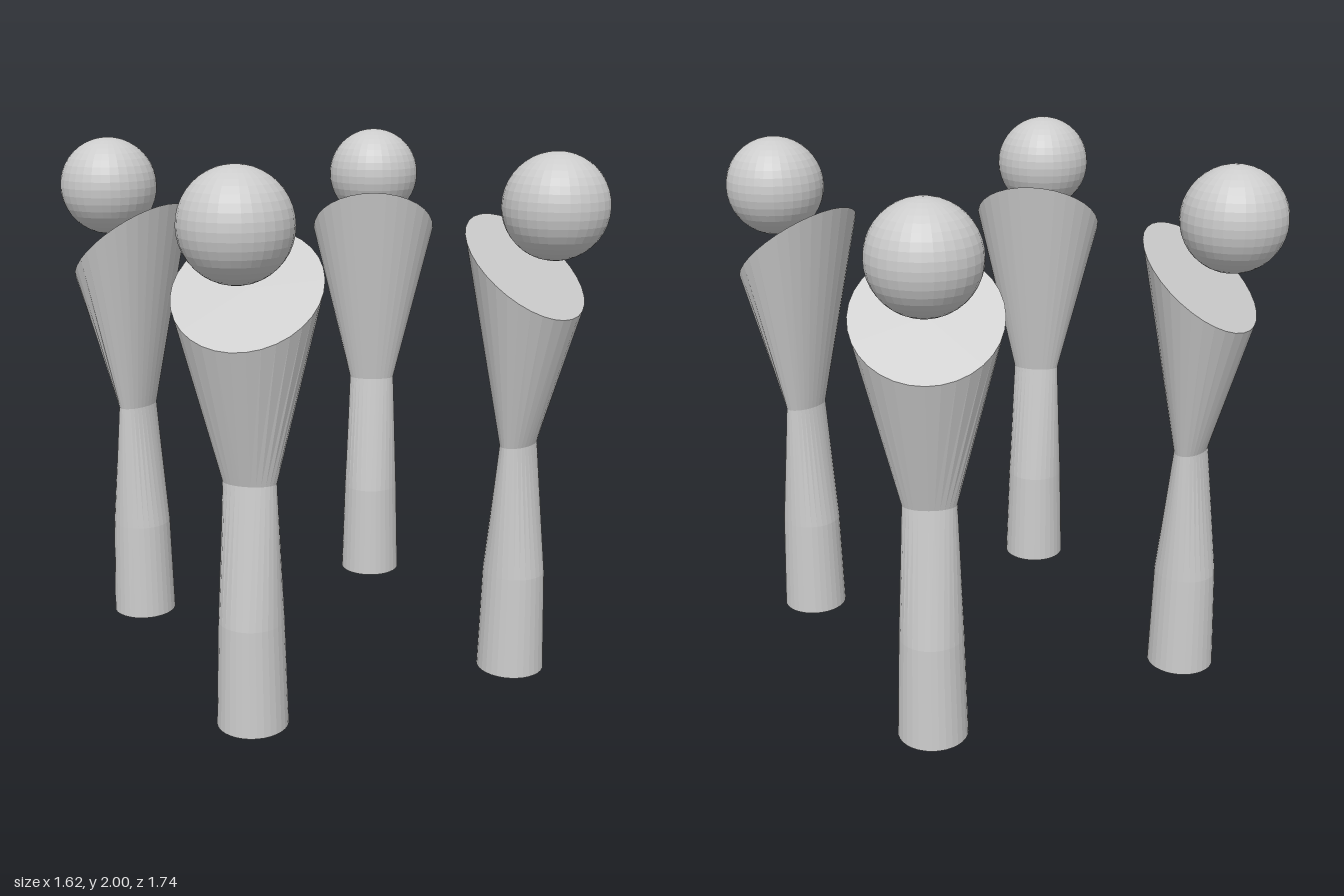
import * as THREE from 'three';

const material = new THREE.MeshStandardMaterial({ color: 0xcccccc, flatShading: true });

// Body cross-sections from the ground up: height, half width, half depth, drop towards the front
const SECTIONS = [
  [0, 0.13, 0.13, 0],
  [0.4, 0.118, 0.118, 0],
  [0.91, 0.097, 0.056, 0],
  [1.582, 0.261, 0.202, 0.172],
];

// Reshape a unit cylinder so that each ring becomes one elliptical section
function bodyGeometry() {
  const steps = SECTIONS.length - 1;
  const geometry = new THREE.CylinderGeometry(1, 1, 1, 32, steps);
  const p = geometry.attributes.position;
  for (let i = 0; i < p.count; i++) {
    const [y, width, depth, drop] = SECTIONS[Math.round((p.getY(i) + 0.5) * steps)];
    const x = p.getX(i), z = p.getZ(i);
    p.setXYZ(i, x * width, y - z * drop, z * depth);
  }
  geometry.computeVertexNormals();
  return geometry;
}

export function createModel() {
  const model = new THREE.Group();
  model.name = 'figureGroup';
  const body = bodyGeometry();
  const head = new THREE.SphereGeometry(0.193, 32, 20);

  // Four figures facing outwards: name, x, z, heading in degrees
  const figures = [
    ['frontLeftFigure', 0.557, 0.577, 24],
    ['frontRightFigure', -0.535, 0.57, -39],
    ['backLeftFigure', 0.535, -0.573, 153],
    ['backRightFigure', -0.565, -0.57, 210],
  ];
  for (const [name, x, z, heading] of figures) {
    const figure = new THREE.Group();
    figure.name = name;

    const bodyMesh = new THREE.Mesh(body, material);
    bodyMesh.name = 'body';

    // The head floats above the slanted shoulder face
    const headMesh = new THREE.Mesh(head, material);
    headMesh.name = 'head';
    headMesh.position.set(0, 1.807, 0.115);

    figure.add(bodyMesh, headMesh);
    figure.position.set(x, 0, z);
    figure.rotation.y = THREE.MathUtils.degToRad(heading);
    model.add(figure);
  }
  return model;
}
